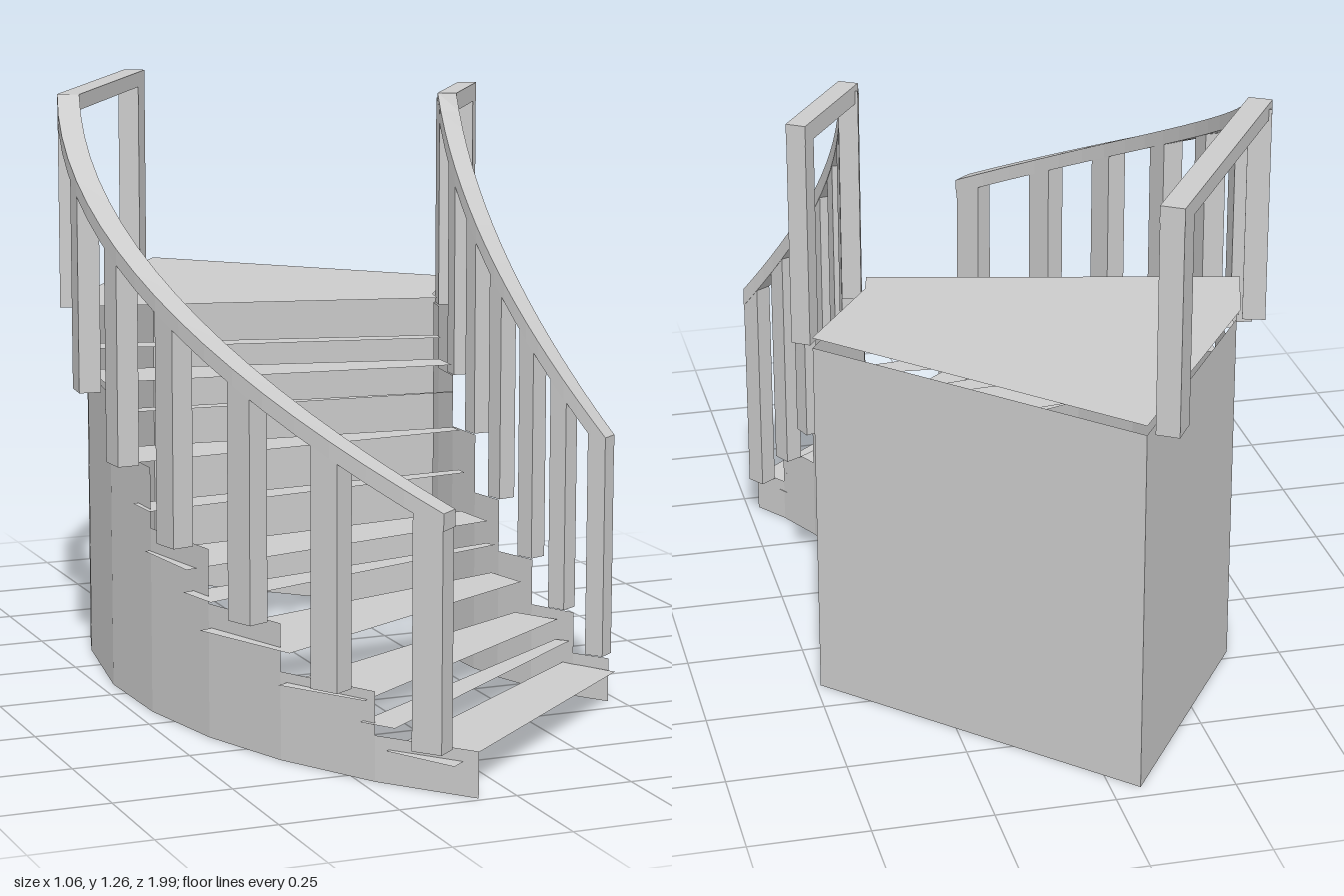
import * as THREE from 'three';

const solid = new THREE.MeshStandardMaterial({ color: 0xcccccc, flatShading: true });
const sheet = new THREE.MeshStandardMaterial({ color: 0xcccccc, flatShading: true, side: THREE.DoubleSide });

// Thin surface from a list of quads, each four [x, y, z] corners
function quads(name, list) {
  const pos = [];
  for (const [a, b, c, d] of list) pos.push(...a, ...b, ...c, ...a, ...c, ...d);
  const g = new THREE.BufferGeometry();
  g.setAttribute('position', new THREE.Float32BufferAttribute(pos, 3));
  g.computeVertexNormals();
  const m = new THREE.Mesh(g, sheet);
  m.name = name;
  return m;
}

// Upright rectangular bar along points {x, z, lo, hi}
function bar(name, pts, width) {
  const rings = pts.map((p, i) => {
    const a = pts[Math.max(i - 1, 0)], b = pts[Math.min(i + 1, pts.length - 1)];
    const l = Math.hypot(b.x - a.x, b.z - a.z);
    const nx = (-(b.z - a.z) / l) * width / 2, nz = ((b.x - a.x) / l) * width / 2;
    return [[p.x + nx, p.lo, p.z + nz], [p.x + nx, p.hi, p.z + nz],
      [p.x - nx, p.hi, p.z - nz], [p.x - nx, p.lo, p.z - nz]];
  });
  const faces = [[...rings[0]].reverse(), rings[rings.length - 1]];
  for (let i = 0; i + 1 < rings.length; i++) {
    for (let k = 0; k < 4; k++) {
      const n = (k + 1) % 4;
      faces.push([rings[i][k], rings[i][n], rings[i + 1][n], rings[i + 1][k]]);
    }
  }
  const m = quads(name, faces);
  m.material = sheet;
  return m;
}

const levels = [0.095, 0.185, 0.285, 0.4, 0.53, 0.645, 0.785];

const sides = [
  { name: 'outer', cx: 0.975, railR: 1.48, wallR: 1.445, width: 0.05, post: 0.065, thick: 0.035,
    posts: [0.95, 0.76, 0.56, 0.33, 0.1, -0.15, -0.45],
    steps: [0.99, 0.81, 0.6, 0.39, 0.16, -0.08, -0.38], corner: -0.47,
    railEnd: [-0.097, -0.98], wallEnd: [-0.06, -0.965] },
  { name: 'inner', cx: 1.03, railR: 0.69, wallR: 0.715, width: 0.042, post: 0.042, thick: 0.04,
    posts: [0.405, 0.325, 0.245, 0.15, 0.055, -0.045, -0.16],
    steps: [0.45, 0.38, 0.28, 0.18, 0.09, -0.02, -0.12], corner: -0.18,
    railEnd: [0.51, -0.385], wallEnd: [0.49, -0.41] },
];

function buildSide(s) {
  const g = new THREE.Group();
  g.name = s.name + 'Side';
  const arcX = (z, r) => s.cx - Math.sqrt(r * r - z * z);
  const ang = z => Math.asin(z / s.railR);
  const z0 = s.posts[0] + s.post * 0.4, z1 = s.posts[6];
  const railTop = z => 0.575 + 0.685 * THREE.MathUtils.clamp((ang(z0) - ang(z)) / (ang(z0) - ang(z1)), 0, 1);

  // Stepped side wall, ending in one straight panel beside the landing
  const wall = [];
  const corners = [...s.steps, s.corner].map(z => [arcX(z, s.wallR), z]);
  corners.push(s.wallEnd);
  for (let i = 0; i + 1 < corners.length; i++) {
    const [ax, az] = corners[i], [bx, bz] = corners[i + 1], y = levels[Math.min(i, 6)];
    wall.push([[ax, 0, az], [bx, 0, bz], [bx, y, bz], [ax, y, az]]);
  }
  g.add(quads(s.name + 'Wall', wall));

  // Handrail rising round the curve, then level along the landing
  const rail = [];
  const n = 18;
  for (let i = 0; i <= n; i++) {
    const z = s.railR * Math.sin(THREE.MathUtils.lerp(ang(z0), ang(z1), i / n));
    const hi = railTop(z);
    rail.push({ x: arcX(z, s.railR), z, lo: hi - s.thick, hi });
  }
  const [ex, ez] = s.railEnd;
  rail.push({ x: ex, z: ez, lo: 1.26 - s.thick, hi: 1.26 });
  g.add(bar(s.name + 'Handrail', rail, s.width));

  // Posts with tops cut to the slope of the rail
  const h = s.post / 2;
  s.posts.forEach((z, i) => {
    const a = ang(z), x = arcX(z, s.railR);
    const ends = [1, -1].map(k => {
      const pz = z + k * h * Math.cos(a);
      return { x: x + k * h * Math.sin(a), z: pz, lo: levels[i], hi: railTop(pz) - 0.012 };
    });
    g.add(bar(s.name + 'Post' + (i + 1), ends, s.width * 0.96));
  });
  const last = rail[n], len = Math.hypot(ex - last.x, ez - last.z);
  const dx = (ex - last.x) / len, dz = (ez - last.z) / len;
  g.add(bar(s.name + 'EndPost', [
    { x: ex - dx * s.post, z: ez - dz * s.post, lo: 0.785, hi: 1.25 },
    { x: ex, z: ez, lo: 0.785, hi: 1.25 },
  ], s.width * 0.98));
  return g;
}

// Front edge of each tread: height, outer x and z, inner x and z
const treads = [
  [0.07, -0.13, 0.99, 0.48, 0.47],
  [0.12, -0.2, 0.86, 0.42, 0.37],
  [0.165, -0.24, 0.8, 0.4, 0.35],
  [0.235, -0.34, 0.65, 0.35, 0.27],
  [0.3, -0.43, 0.44, 0.33, 0.18],
  [0.35, -0.45, 0.35, 0.32, 0.16],
  [0.44, -0.47, 0.18, 0.31, 0.06],
  [0.53, -0.475, 0.1, 0.31, 0.03],
  [0.61, -0.475, -0.05, 0.31, -0.005],
  [0.67, -0.475, -0.09, 0.31, -0.015],
  [0.72, -0.46, -0.24, 0.315, -0.085],
  [0.805, -0.45, -0.3, 0.32, -0.12],
];

export function createModel() {
  const model = new THREE.Group();
  model.name = 'curvedStaircase';
  for (const s of sides) model.add(buildSide(s));

  // Open treads, each reaching a little under the next
  for (let i = 0; i < 11; i++) {
    const [y, ox, oz, ix, iz] = treads[i], t = treads[i + 1], k = 1.15;
    model.add(quads('tread' + (i + 1), [[[ox, y, oz], [ix, y, iz],
      [ix + (t[3] - ix) * k, y, iz + (t[4] - iz) * k],
      [ox + (t[1] - ox) * k, y, oz + (t[2] - oz) * k]]]));
  }

  // Landing and the wall closing its back
  const [y, ox, oz, ix, iz] = treads[11];
  model.add(quads('landing', [
    [[ox, y, oz], [ix, y, iz], [0.335, y, -0.18], [-0.4, y, -0.47]],
    [[-0.4, y, -0.47], [0.335, y, -0.18], [0.49, y, -0.405], [-0.06, y, -0.965]],
  ]));
  model.add(quads('backWall', [[[0.49, 0, -0.41], [-0.06, 0, -0.965], [-0.06, 0.785, -0.965], [0.49, 0.785, -0.41]]]));
  return model;
}
